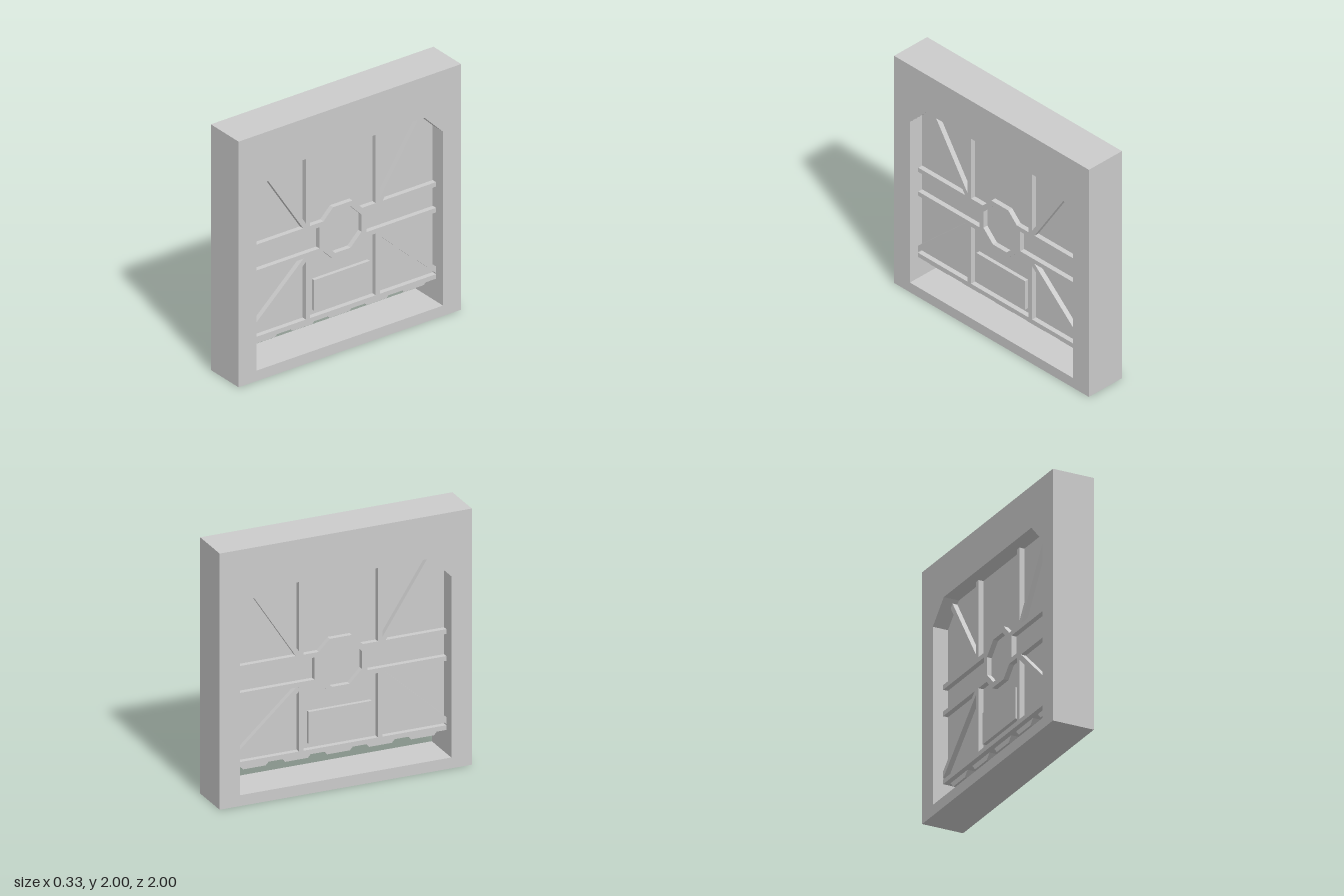
import * as THREE from 'three';

const FRAME = 0.167, RIB = 0.083, PLATE = 0.073, PANEL = 0.043; // half thicknesses

export function createModel() {
  const model = new THREE.Group();
  model.name = 'slidingDoor';
  const material = new THREE.MeshStandardMaterial({ color: 0xcccccc, flatShading: true });

  const toPoints = (pts) => pts.map(([x, y]) => new THREE.Vector2(x, y));

  // Extrude an outline symmetrically about the door's middle plane
  function slab(name, outline, half, hole) {
    const shape = new THREE.Shape(toPoints(outline));
    if (hole) shape.holes.push(new THREE.Path(toPoints(hole)));
    const geometry = new THREE.ExtrudeGeometry(shape, { depth: half * 2, bevelEnabled: false });
    geometry.translate(0, 0, -half);
    const mesh = new THREE.Mesh(geometry, material);
    mesh.name = name;
    model.add(mesh);
  }
  const rect = (x0, y0, x1, y1) => [[x0, y0], [x1, y0], [x1, y1], [x0, y1]];
  const opening = (bottom) => [
    [-0.837, bottom], [0.837, bottom], [0.837, 1.5], [0.67, 1.667], [-0.67, 1.667], [-0.837, 1.5],
  ];
  const octagon = (r, c, cy) => [
    [r, c], [c, r], [-c, r], [-r, c], [-r, -c], [-c, -r], [c, -r], [r, -c],
  ].map(([x, y]) => [x, y + cy]);

  // Straight bar of constant width between two points
  function bar(name, x0, y0, x1, y1, width) {
    const len = Math.hypot(x1 - x0, y1 - y0);
    const nx = -(y1 - y0) / len * width / 2, ny = (x1 - x0) / len * width / 2;
    slab(name, [[x0 - nx, y0 - ny], [x1 - nx, y1 - ny], [x1 + nx, y1 + ny], [x0 + nx, y0 + ny]], RIB);
  }

  // Wall surround and the door leaf
  slab('frame', rect(-1, 0, 1, 2), FRAME, opening(0.085));
  slab('doorPanel', opening(0.268), PANEL);

  // Ribs, standing out on both faces
  slab('bottomRib', rect(-0.837, 0.268, 0.837, 0.305), RIB);
  slab('centreRing', octagon(0.21, 0.087, 0.932), RIB, octagon(0.168, 0.07, 0.932));
  for (const s of [-1, 1]) {
    const mirrored = (x0, y0, x1, y1) => rect(Math.min(s * x0, s * x1), y0, Math.max(s * x0, s * x1), y1);
    slab('upperCrossRib', mirrored(0.165, 1.018, 0.837, 1.055), RIB);
    slab('lowerCrossRib', mirrored(0.165, 0.808, 0.837, 0.845), RIB);
    slab('ringShoulder', mirrored(0.168, 0.845, 0.207, 1.018), RIB);
    slab('upperPost', mirrored(0.295, 1.055, 0.332, 1.667), RIB);
    slab('lowerPost', mirrored(0.295, 0.305, 0.332, 0.808), RIB);
    bar('upperBrace', s * 0.72, 1.65, s * 0.332, 1.052, 0.038);
    bar('lowerBrace', s * 0.86, 0.32, s * 0.33, 0.803, 0.04);
  }

  // Raised plate below the ring
  slab('lowerPlate', rect(-0.25, 0.345, 0.25, 0.595), PLATE);

  // Locking teeth along the lower edge
  for (let i = -2; i <= 2; i++) {
    const x = i * 0.3335;
    slab('tooth', [[x - 0.09, 0.225], [x + 0.09, 0.225], [x + 0.13, 0.268], [x - 0.13, 0.268]], PANEL);
  }

  // The door faces sideways
  model.rotation.y = Math.PI / 2;
  const root = new THREE.Group();
  root.name = 'door';
  root.add(model);
  return root;
}
